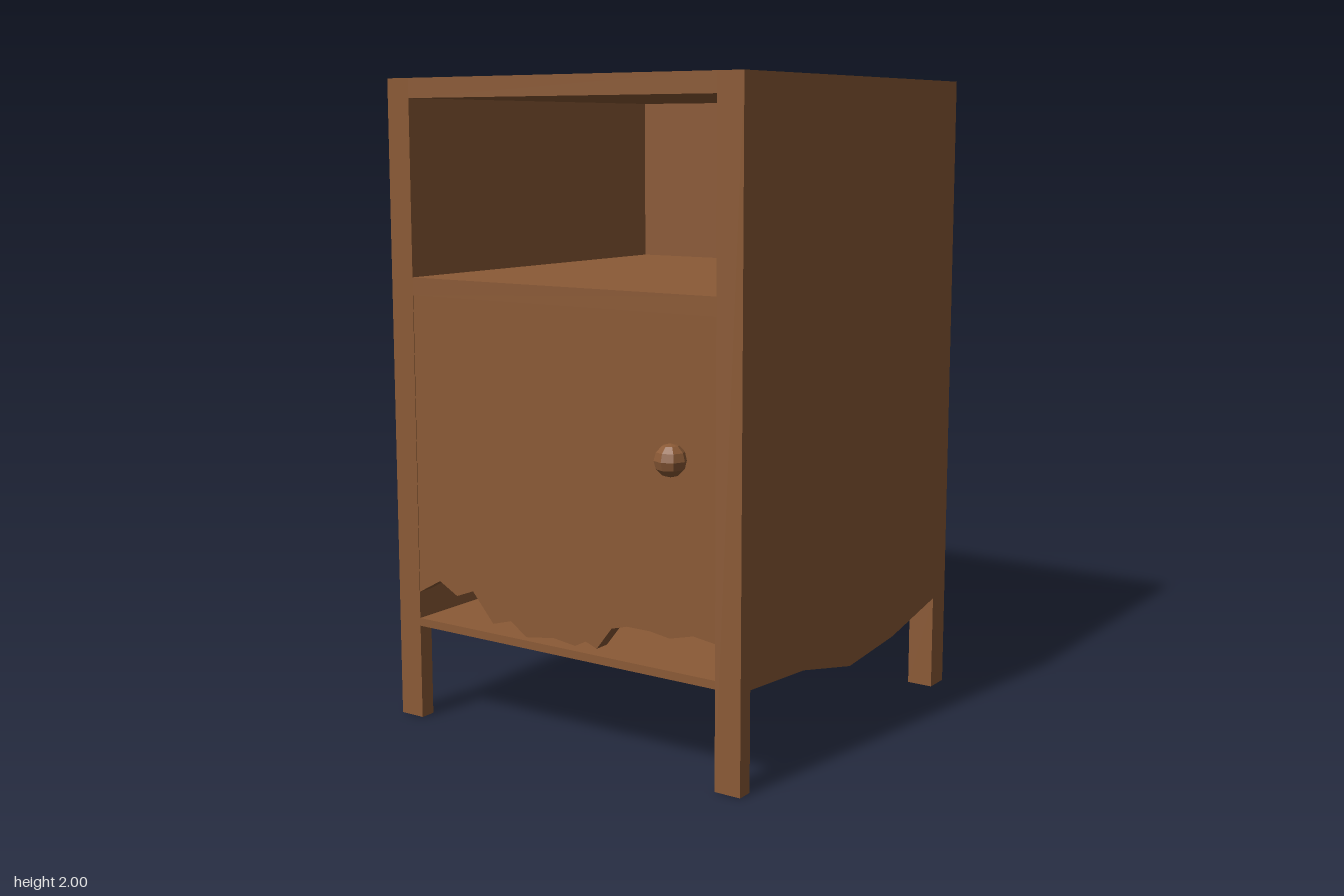
import * as THREE from 'three';

const wood = new THREE.MeshStandardMaterial({ color: 0x8b5a36 });
wood.name = 'brown wood';

const FRONT = 0.605, BACK = -0.675, HALF = 0.64, INNER = 0.555, WALL = HALF - INNER;

// Wavy lower edge shared by the sides and the floor, as [z, y]
const wave = [[0.555, 0.30], [0.26, 0.28], [-0.02, 0.22], [-0.30, 0.245], [-0.59, 0.305]];

function shapeOf(points) {
  return new THREE.Shape(points.map(([a, b]) => new THREE.Vector2(a, b)));
}

// Extrudes a [z, y] outline along x, centred on x = 0
function extrudeX(points, width) {
  const geo = new THREE.ExtrudeGeometry(shapeOf(points), { depth: width, bevelEnabled: false });
  return geo.translate(0, 0, -width / 2).rotateY(-Math.PI / 2);
}

// Box given by its limits on each axis
function boxGeo(x0, x1, y0, y1, z0, z1) {
  return new THREE.BoxGeometry(x1 - x0, y1 - y0, z1 - z0)
    .translate((x0 + x1) / 2, (y0 + y1) / 2, (z0 + z1) / 2);
}

export function createModel() {
  const group = new THREE.Group();
  group.name = 'bedsideCabinet';
  const add = (name, geo) => {
    const mesh = new THREE.Mesh(geo, wood);
    mesh.name = name;
    group.add(mesh);
    return mesh;
  };

  // Side panels, each running down into a front and a back leg
  const sideOutline = [
    [FRONT, 2], [FRONT, 0], [0.555, 0], ...wave, [-0.59, 0], [BACK, 0], [BACK, 2],
  ];
  for (const [name, s] of [['leftSide', 1], ['rightSide', -1]]) {
    add(name, extrudeX(sideOutline, WALL)).position.x = s * (HALF - WALL / 2);
  }

  // Top, shelf and back between the sides
  add('top', boxGeo(-INNER, INNER, 1.94, 2, BACK, FRONT));
  add('shelf', boxGeo(-INNER, INNER, 1.345, 1.40, -0.62, FRONT));
  add('back', boxGeo(-INNER, INNER, 0.325, 1.94, BACK, -0.62));

  // Floor with a wavy underside
  add('floor', extrudeX(
    [[FRONT, 0.325], [FRONT, 0.30], ...wave, [BACK, 0.305], [BACK, 0.325]], 2 * INNER));

  // Door with a broken lower edge
  const broken = [
    [-INNER, 0.41], [-0.47, 0.457], [-0.40, 0.42], [-0.335, 0.445], [-0.255, 0.355],
    [-0.185, 0.375], [-0.125, 0.335], [-0.02, 0.35], [0.06, 0.34], [0.10, 0.36],
    [0.14, 0.345], [0.195, 0.415], [0.25, 0.43], [0.33, 0.43], [0.40, 0.42],
    [0.48, 0.44], [INNER, 0.43],
  ];
  const door = new THREE.ExtrudeGeometry(
    shapeOf([...broken, [INNER, 1.345], [-INNER, 1.345]]), { depth: 0.05, bevelEnabled: false });
  add('door', door.translate(0, 0, FRONT - 0.052));

  // Faceted knob
  const knob = new THREE.SphereGeometry(0.048, 8, 6).toNonIndexed();
  knob.computeVertexNormals();
  add('knob', knob).position.set(0.42, 0.94, 0.627);

  return group;
}
